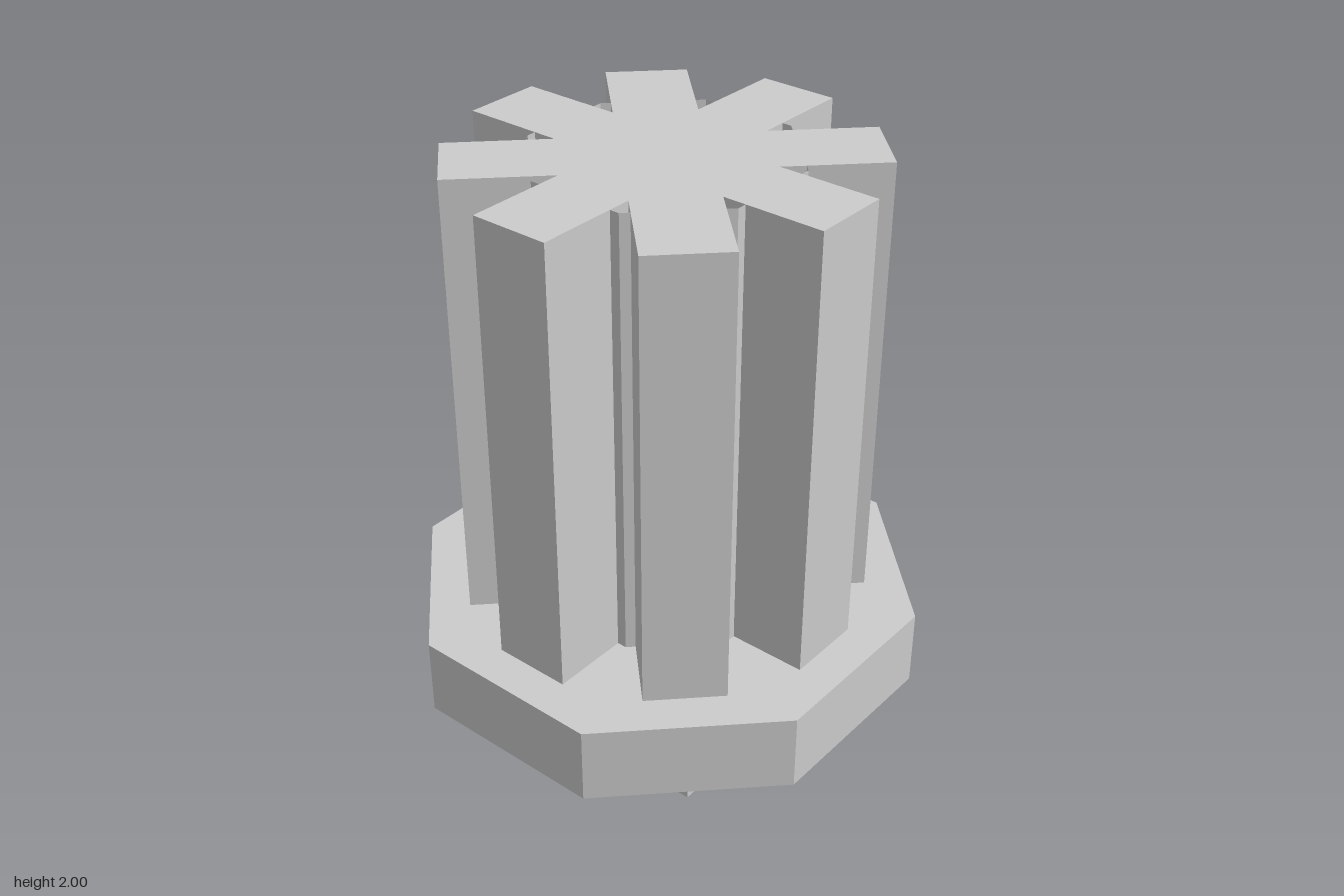
import * as THREE from 'three';

const material = new THREE.MeshStandardMaterial({ color: 0xcccccc, flatShading: true });
const openMaterial = new THREE.MeshStandardMaterial({ color: 0xcccccc, flatShading: true, side: THREE.DoubleSide });

function add(group, name, geometry, y, mat = material) {
  const mesh = new THREE.Mesh(geometry, mat);
  mesh.name = name;
  mesh.position.y = y;
  group.add(mesh);
}

// Octagonal prism with flat sides facing the axes, sized by its apothem
function octagon(apothem, height, open = false) {
  const r = apothem / Math.cos(Math.PI / 8);
  return new THREE.CylinderGeometry(r, r, height, 8, 1, open).rotateY(Math.PI / 8);
}

// Eight square-ended fins merging into a star, extruded upward
function star(radius, halfWidth, height) {
  const notch = halfWidth * (1 + Math.SQRT2);
  const points = [];
  for (let i = 0; i < 8; i++) {
    const turn = (i * Math.PI) / 4;
    for (const [x, y] of [[radius, -halfWidth], [radius, halfWidth], [notch, halfWidth]]) {
      points.push(new THREE.Vector2(x, y).rotateAround(new THREE.Vector2(), turn));
    }
  }
  return new THREE.ExtrudeGeometry(new THREE.Shape(points), { depth: height, bevelEnabled: false })
    .rotateX(-Math.PI / 2);
}

export function createModel() {
  const group = new THREE.Group();
  const baseTop = 0.565, height = 2 - baseTop;

  add(group, 'squareStub', new THREE.BoxGeometry(0.498, 0.25, 0.498), 0.125);
  add(group, 'squarePlate', new THREE.BoxGeometry(0.996, 0.065, 0.996), 0.2825);
  add(group, 'octagonalFlange', octagon(0.747, 0.25), 0.44);
  add(group, 'fins', star(0.622, 0.1245, height), baseTop);

  // Thin open wall linking the fins
  add(group, 'coreWall', octagon(0.374, height, true), baseTop + height / 2, openMaterial);
  return group;
}
